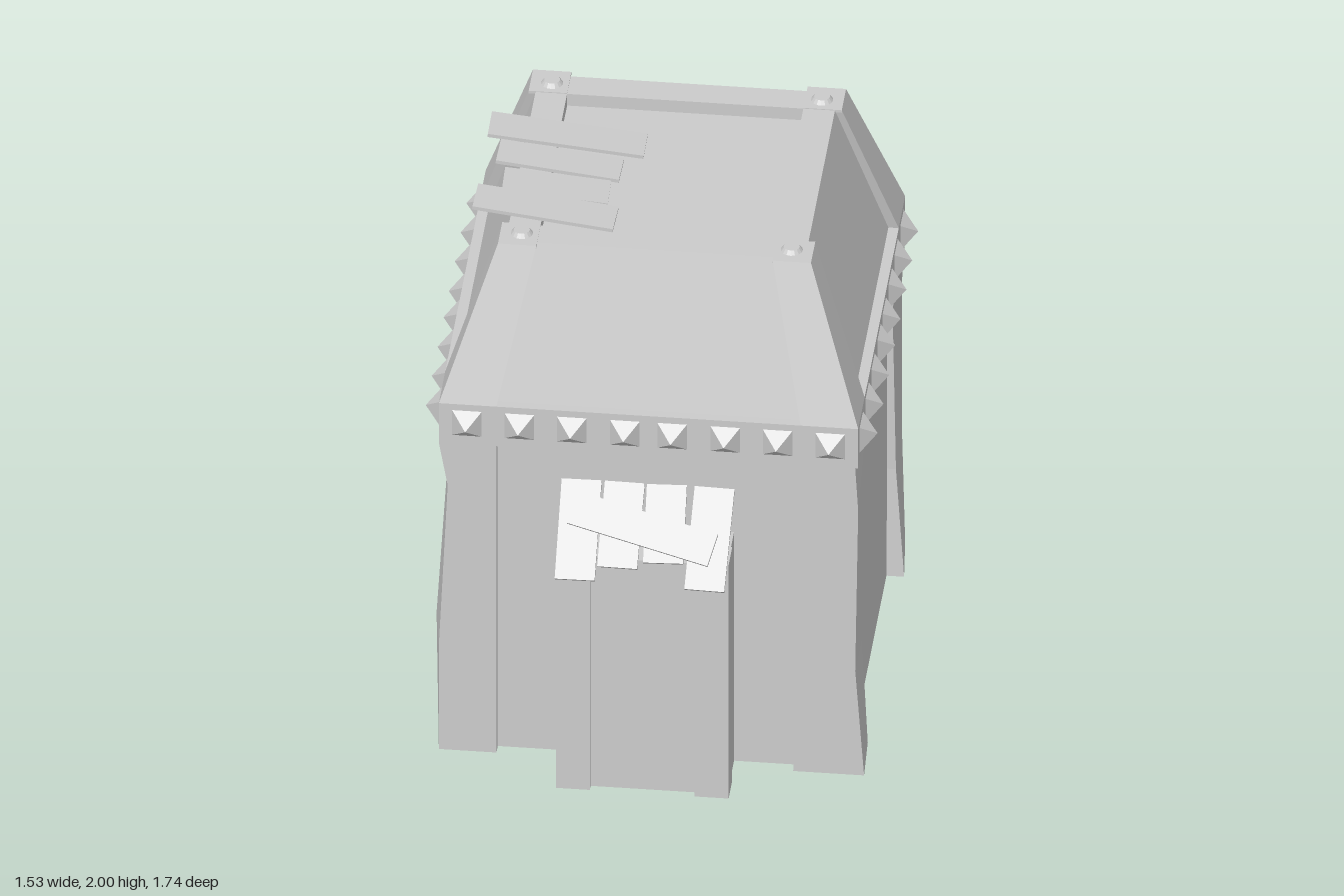
import * as THREE from 'three';

const mat = new THREE.MeshStandardMaterial({ color: 0xcccccc, flatShading: true, side: THREE.DoubleSide });

function add(parent, name, geometry, x = 0, y = 0, z = 0) {
  const mesh = new THREE.Mesh(geometry, mat);
  mesh.name = name;
  mesh.position.set(x, y, z);
  parent.add(mesh);
  return mesh;
}

// Square shell: a [half width, y] profile swept round four sides
function squareShell(profile) {
  const pts = profile.map(([r, y]) => new THREE.Vector2(r * Math.SQRT2, y));
  return new THREE.LatheGeometry(pts, 4, Math.PI / 4).toNonIndexed();
}

// Open skin through rows { y, pts: [[x, z], ...] } listed bottom to top, mirrored into a corner
function cornerSkin(rows, sx, sz) {
  const n = rows[0].pts.length;
  const pos = [], index = [];
  for (const { y, pts } of rows) for (const [x, z] of pts) pos.push(x * sx, y, z * sz);
  for (let r = 0; r < rows.length - 1; r++) {
    for (let i = 0; i < n - 1; i++) {
      const a = r * n + i, b = a + 1, c = b + n, d = a + n;
      if (sx * sz > 0) index.push(a, b, c, a, c, d);
      else index.push(a, c, b, a, d, c);
    }
  }
  const g = new THREE.BufferGeometry();
  g.setAttribute('position', new THREE.Float32BufferAttribute(pos, 3));
  g.setIndex(index);
  const flat = g.toNonIndexed();
  flat.computeVertexNormals();
  return flat;
}

// Cross-section of a corner post, from the front return round to the side return
const postSection = (inner, wall, cornerX, edgeX, outer, edge) =>
  [[inner, wall], [inner, outer], [cornerX, outer], [edgeX, edge], [wall, edge]];

export function createModel() {
  const model = new THREE.Group();
  model.name = 'fortifiedHut';

  const hut = new THREE.Group();
  hut.name = 'hut';
  hut.position.z = -0.11;
  model.add(hut);

  // Walls, stud band, sloping upper panels and sunken roof
  add(hut, 'walls', squareShell([[0.67, 0], [0.67, 1.24]]));
  add(hut, 'studBand', squareShell([[0.66, 1.24], [0.71, 1.24], [0.71, 1.4], [0.66, 1.4]]));
  add(hut, 'upperPanels', squareShell([[0.675, 1.4], [0.507, 1.937]]));
  add(hut, 'roofFrame', squareShell([[0.507, 1.937], [0.4, 1.937], [0.4, 1.89], [0, 1.89]]));

  // Corners: [x sign, z sign, rows of y, corner x, side edge x, inner edge x, side edge z]
  const ys = [0, 0.42, 1.07, 1.24];
  const corners = [
    [-1, 1, [0.71, 0.71, 0.68, 0.71], [0.71, 0.74, 0.7, 0.71], [0.515, 0.515, 0.515, 0.515], [0.51, 0.51, 0.51, 0.51]],
    [1, 1, [0.73, 0.7, 0.71, 0.7], [0.72, 0.7, 0.71, 0.71], [0.49, 0.5, 0.51, 0.51], [0.51, 0.51, 0.51, 0.51]],
    [1, -1, [0.71, 0.7, 0.7, 0.71], [0.73, 0.7, 0.69, 0.71], [0.51, 0.52, 0.5, 0.51], [0.5, 0.52, 0.51, 0.5]],
    [-1, -1, [0.71, 0.71, 0.7, 0.71], [0.71, 0.71, 0.69, 0.71], [0.5, 0.52, 0.49, 0.51], [0.5, 0.52, 0.51, 0.5]],
  ];
  for (const [sx, sz, cx, ex, inner, ez] of corners) {
    const rows = ys.map((y, i) => ({ y, pts: postSection(inner[i], 0.665, cx[i], ex[i], 0.71, ez[i]) }));
    add(hut, 'cornerPost', cornerSkin(rows, sx, sz));
    add(hut, 'upperCornerPost', cornerSkin([
      { y: 1.4, pts: postSection(0.515, 0.67, 0.71, 0.71, 0.71, 0.515) },
      { y: 1.94, pts: postSection(0.4, 0.5, 0.53, 0.53, 0.53, 0.4) },
    ], sx, sz));
    add(hut, 'cornerCap', new THREE.BoxGeometry(0.13, 0.01, 0.13), sx * 0.465, 1.935, sz * 0.465);
    add(hut, 'roofBolt', new THREE.CylinderGeometry(0.027, 0.038, 0.015, 16), sx * 0.457, 1.947, sz * 0.457);
  }

  // Pyramid studs, eight along each side
  const stud = new THREE.ConeGeometry(0.05 * Math.SQRT2, 0.055, 4, 1, true)
    .rotateY(Math.PI / 4).rotateX(Math.PI / 2).toNonIndexed();
  for (let s = 0; s < 4; s++) {
    const row = new THREE.Group();
    row.name = 'studRow';
    row.rotation.y = s * Math.PI / 2;
    hut.add(row);
    for (const x of [0.08, 0.26, 0.437, 0.615]) {
      for (const m of [-1, 1]) add(row, 'stud', stud, m * x, 1.325, 0.7375);
    }
  }

  // Loose planks on the roof: [x min, x max, z, width, y lift, yaw]
  const roofPlanks = [
    [-0.63, -0.1, -0.215, 0.138, 0.004, 0.01],
    [-0.585, -0.165, -0.068, 0.132, -0.004, -0.02],
    [-0.55, -0.19, 0.083, 0.14, -0.008, 0.03],
    [-0.63, -0.15, 0.235, 0.14, 0.004, -0.03],
  ];
  for (const [x0, x1, z, width, lift, yaw] of roofPlanks) {
    const x = (x0 + x1) / 2;
    const plank = add(model, 'roofPlank', new THREE.BoxGeometry(x1 - x0, 0.013, width),
      x, 1.965 - (x + 0.365) * 0.1 + lift, z);
    plank.rotation.set(0, yaw, -0.1);
  }

  // Porch: recessed door block with a pillar at each side
  add(model, 'porchBlock', new THREE.BoxGeometry(0.57, 0.925, 0.16), 0, 0.4625, 0.635);
  add(model, 'porchDoor', new THREE.BoxGeometry(0.38, 0.925, 0.09), 0, 0.4625, 0.72);
  for (const m of [-1, 1]) {
    add(model, 'porchPillar', new THREE.BoxGeometry(0.115, 0.945, 0.11), m * 0.235, 0.4725, 0.735);
  }

  // Sloping awning of planks: [x, length, width, roll]
  const awning = new THREE.Group();
  awning.name = 'awning';
  awning.position.set(0, 1.01, 0.735);
  awning.rotation.x = -Math.PI / 4;
  model.add(awning);
  const planks = [
    [-0.223, 0.345, 0.135, 0.01],
    [-0.08, 0.295, 0.135, -0.01],
    [0.068, 0.27, 0.135, 0.03],
    [0.222, 0.355, 0.135, -0.02],
  ];
  for (const [x, length, width, roll] of planks) {
    const plank = add(awning, 'awningPlank', new THREE.BoxGeometry(width, length, 0.013), x, 0.175 - length / 2, 0);
    plank.rotation.z = roll;
  }
  const brace = add(awning, 'awningBrace', new THREE.BoxGeometry(0.5, 0.115, 0.014), -0.005, 0.015, 0.022);
  brace.rotation.z = -0.24;

  return model;
}
